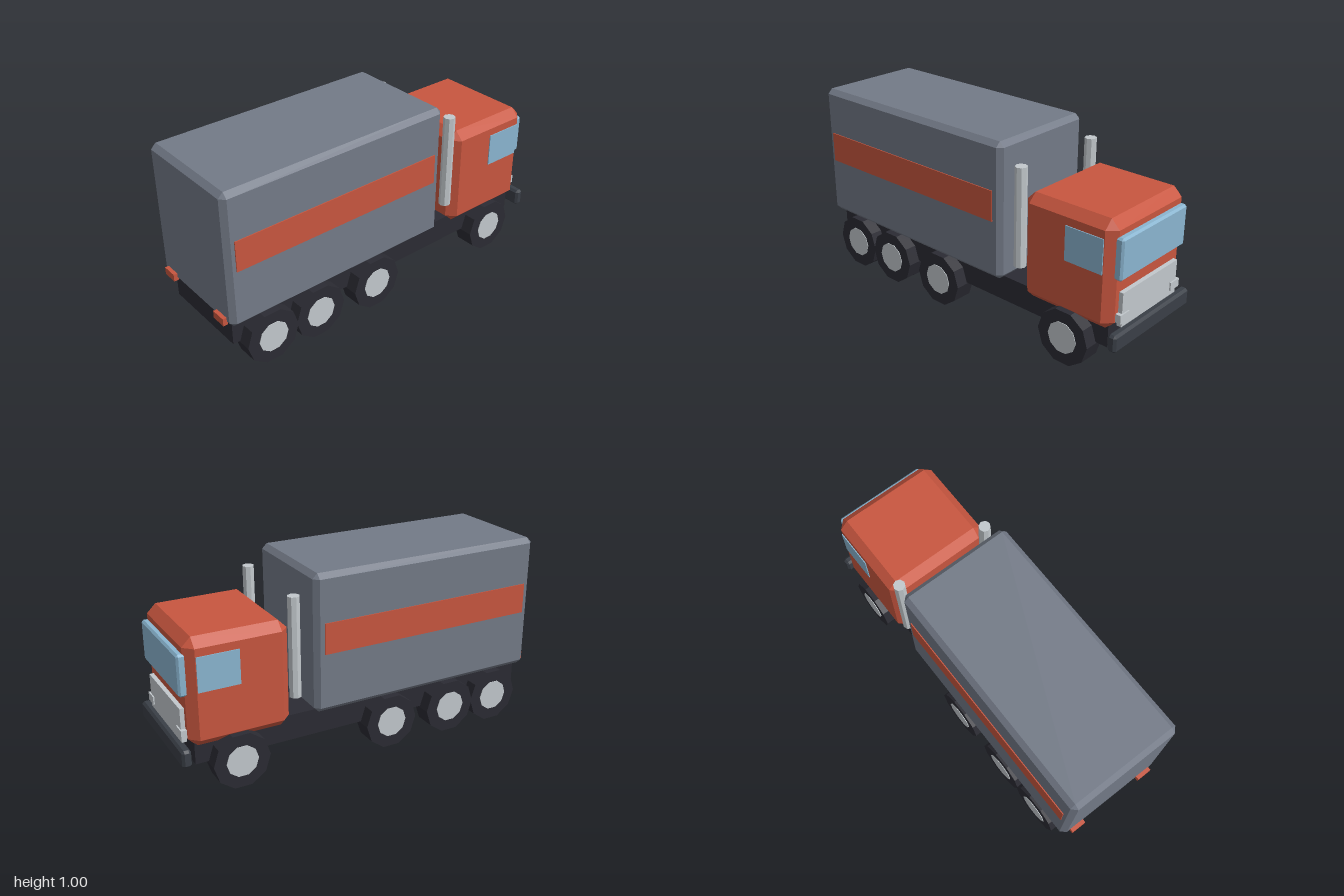
import * as THREE from 'three';
import { ConvexGeometry } from 'three/addons/geometries/ConvexGeometry.js';

const mat = (name, color) => {
  const m = new THREE.MeshStandardMaterial({ color });
  m.name = name;
  return m;
};

// Box between two corners with every edge chamfered by c
function chamferBox(min, max, c) {
  const half = max.map((v, i) => (v - min[i]) / 2);
  const points = [];
  for (const sx of [-1, 1]) for (const sy of [-1, 1]) for (const sz of [-1, 1]) {
    for (let axis = 0; axis < 3; axis++) {
      const p = [sx, sy, sz].map((s, i) => s * (half[i] - (i === axis ? 0 : c)));
      points.push(new THREE.Vector3(...p));
    }
  }
  return new ConvexGeometry(points);
}

export function createModel() {
  const truck = new THREE.Group();
  truck.name = 'truck';

  const red = mat('cab red', 0xc8563f);
  const grey = mat('cargo grey', 0x737a87);
  const dark = mat('rubber dark', 0x2b2b33);
  const slate = mat('bumper slate', 0x3a3f47);
  const glass = mat('window blue', 0x8ab5d0);
  const chrome = mat('pale metal', 0xc2c8cc);

  const add = (name, geometry, material, x, y, z, parent = truck) => {
    const mesh = new THREE.Mesh(geometry, material);
    mesh.name = name;
    mesh.position.set(x, y, z);
    parent.add(mesh);
    return mesh;
  };
  // Box given by its corners, optionally chamfered
  const block = (name, material, min, max, c = 0) => {
    const size = max.map((v, i) => v - min[i]);
    const mid = max.map((v, i) => (v + min[i]) / 2);
    const geometry = c ? chamferBox(min, max, c) : new THREE.BoxGeometry(...size);
    return add(name, geometry, material, ...mid);
  };
  // Faceted cylinder lying along x
  const disc = (radius, width) =>
    new THREE.CylinderGeometry(radius, radius, width, 10).toNonIndexed().rotateZ(Math.PI / 2);

  // Main bodies; the cab points towards -z
  block('chassis', dark, [-0.248, 0.145, -0.92], [0.248, 0.28, 0.95]);
  block('cargoBox', grey, [-0.307, 0.28, -0.31], [0.307, 0.996, 0.98], 0.026);
  block('cab', red, [-0.29, 0.24, -0.948], [0.29, 0.79, -0.43], 0.045);

  // Cab front
  block('windscreen', glass, [-0.255, 0.505, -0.978], [0.255, 0.715, -0.932], 0.01);
  block('grille', chrome, [-0.22, 0.26, -0.97], [0.22, 0.435, -0.945]);
  block('bumper', slate, [-0.305, 0.167, -1], [0.305, 0.257, -0.953], 0.012);

  // Wheels
  const tyre = disc(0.146, 0.112);
  const hub = disc(0.083, 0.118);
  const stack = new THREE.CylinderGeometry(0.031, 0.031, 0.515, 8);
  const faceted = [dark, chrome];
  faceted.forEach((m) => { m.flatShading = true; });

  for (const side of [-1, 1]) {
    const label = side > 0 ? 'left' : 'right';
    // Mirrored block: x range measured outwards from the centre
    const sideBlock = (name, material, [x0, x1], [y0, y1], [z0, z1]) =>
      block(label + name, material,
        [Math.min(side * x0, side * x1), y0, z0],
        [Math.max(side * x0, side * x1), y1, z1]);

    sideBlock('Stripe', red, [0.304, 0.312], [0.59, 0.75], [-0.26, 0.935]);
    sideBlock('SideWindow', glass, [0.287, 0.295], [0.53, 0.705], [-0.9, -0.69]);
    sideBlock('TailLight', red, [0.178, 0.26], [0.287, 0.327], [0.975, 1]);
    sideBlock('Headlight', chrome, [0.17, 0.24], [0.287, 0.33], [-0.977, -0.94]);
    add(label + 'ExhaustStack', stack, chrome, side * 0.262, 0.643, -0.4);

    for (const z of [0.767, 0.484, 0.12, -0.71]) {
      const wheel = new THREE.Group();
      wheel.name = label + 'Wheel';
      wheel.position.set(side * 0.26, 0.139, z);
      truck.add(wheel);
      add('tyre', tyre, dark, 0, 0, 0, wheel);
      add('hub', hub, chrome, 0, 0, 0, wheel);
    }
  }
  return truck;
}
